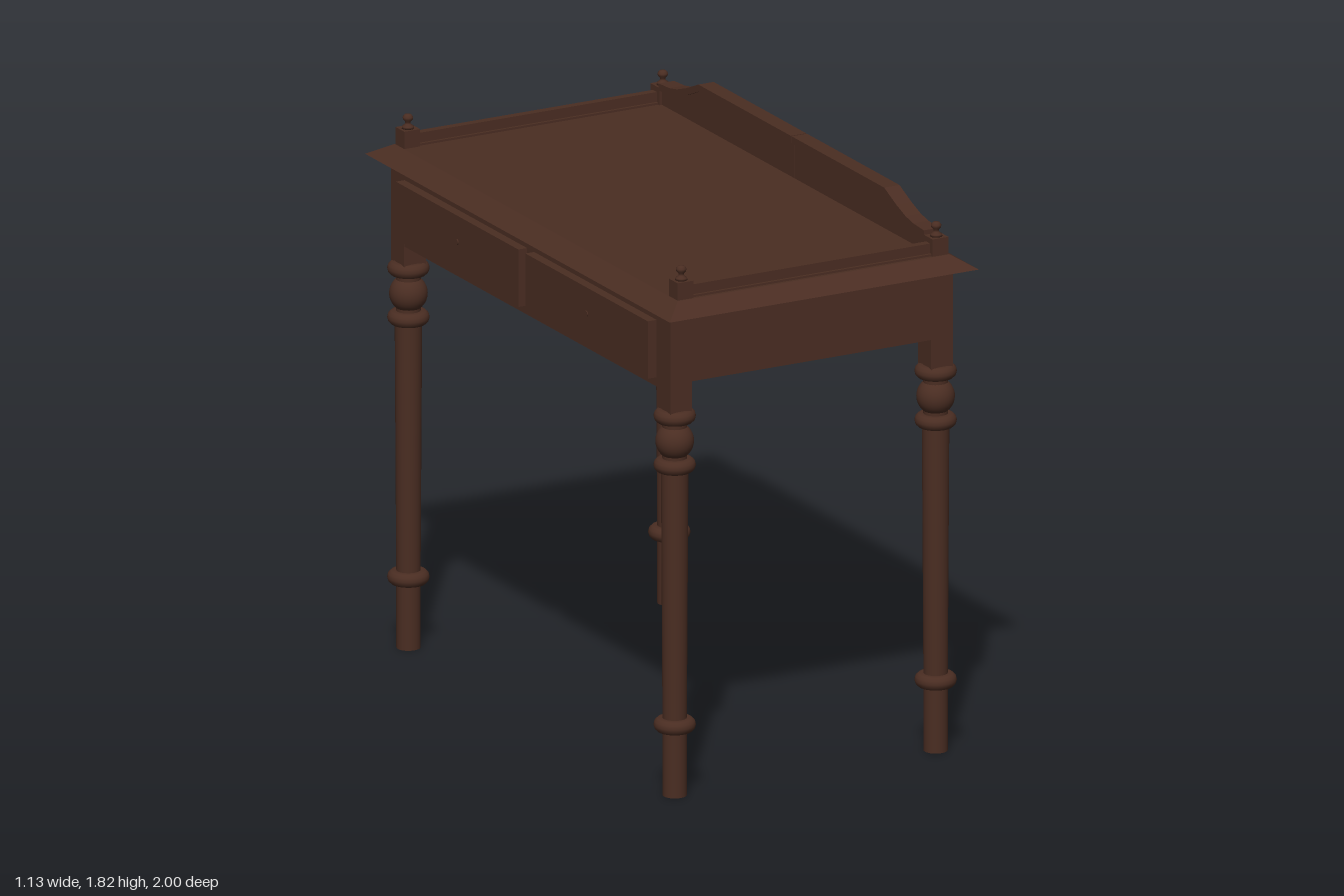
import * as THREE from 'three';

const wood = new THREE.MeshStandardMaterial({ color: 0x4a2d22 });
wood.name = 'dark wood';

function add(parent, name, geometry, x = 0, y = 0, z = 0) {
  const mesh = new THREE.Mesh(geometry, wood);
  mesh.name = name;
  mesh.position.set(x, y, z);
  parent.add(mesh);
  return mesh;
}

// Box given by its minimum and maximum corners
function block(parent, name, [x0, y0, z0], [x1, y1, z1]) {
  return add(parent, name, new THREE.BoxGeometry(x1 - x0, y1 - y0, z1 - z0),
    (x0 + x1) / 2, (y0 + y1) / 2, (z0 + z1) / 2);
}

function ring(parent, name, y) {
  const g = new THREE.TorusGeometry(0.044, 0.024, 12, 32);
  g.rotateX(Math.PI / 2);
  return add(parent, name, g, 0, y, 0);
}

// Turned leg with a square top block
function makeLeg() {
  const leg = new THREE.Group();
  leg.name = 'leg';
  block(leg, 'legBlock', [-0.04, 1.285, -0.043], [0.04, 1.64, 0.043]);
  ring(leg, 'upperRing', 1.275);
  add(leg, 'legNeck', new THREE.CylinderGeometry(0.04, 0.04, 0.19, 24), 0, 1.195, 0);
  add(leg, 'legBall', new THREE.SphereGeometry(0.062, 28, 18), 0, 1.19, 0);
  ring(leg, 'lowerRing', 1.11);
  add(leg, 'legShaft', new THREE.CylinderGeometry(0.044, 0.039, 0.86, 24), 0, 0.67, 0);
  ring(leg, 'ankleRing', 0.238);
  add(leg, 'foot', new THREE.CylinderGeometry(0.039, 0.039, 0.24, 24), 0, 0.12, 0);
  return leg;
}

// Small square post with a turned finial
function makePost() {
  const post = new THREE.Group();
  post.name = 'galleryPost';
  block(post, 'postBlock', [-0.029, 1.66, -0.029], [0.029, 1.735, 0.029]);
  const profile = [[0, 1.73], [0.02, 1.735], [0.019, 1.742], [0.009, 1.75], [0.009, 1.757],
    [0.016, 1.765], [0.017, 1.773], [0.011, 1.781], [0, 1.783]];
  add(post, 'finial', new THREE.LatheGeometry(profile.map(p => new THREE.Vector2(...p)), 16));
  return post;
}

// Half of the rear gallery outline, from the middle (z = 0.003) to the post
function galleryOutline(drop, bottomDrop) {
  const s = new THREE.Shape();
  const edge = d => [[0.003, 1.82 - d], [0.61, 1.82 - d], [0.69, 1.785 - d],
    [0.75, 1.764 - d], [0.80, 1.754 - d], [0.87, 1.75 - d]];
  const points = edge(drop);
  if (bottomDrop) points.push(...edge(bottomDrop).reverse());
  else points.push([0.87, 1.665], [0.003, 1.665]);
  points.forEach(([z, y], i) => (i ? s.lineTo(z, y) : s.moveTo(z, y)));
  s.closePath();
  return s;
}

function makeGalleryHalf() {
  const half = new THREE.Group();
  half.name = 'rearGalleryHalf';
  for (const [name, shape, depth] of [
    ['galleryPanel', galleryOutline(0.005), 0.034],
    ['galleryCap', galleryOutline(0, 0.024), 0.056],
  ]) {
    const g = new THREE.ExtrudeGeometry(shape, { depth, bevelEnabled: false });
    g.translate(0, 0, -depth / 2);
    g.rotateY(-Math.PI / 2);
    add(half, name, g, 0.464, 0, 0);
  }
  return half;
}

// Table top whose edge slopes inward on all four sides
function makeTopGeometry() {
  const g = new THREE.BoxGeometry(1.13, 0.042, 2).toNonIndexed();
  const p = g.attributes.position;
  for (let i = 0; i < p.count; i++) {
    if (p.getY(i) > 0) {
      p.setX(i, Math.sign(p.getX(i)) * 0.497);
      p.setZ(i, Math.sign(p.getZ(i)) * 0.93);
    }
  }
  g.computeVertexNormals();
  return g;
}

export function createModel() {
  const desk = new THREE.Group();
  desk.name = 'writingDesk';

  // Case, inset bottom board and top
  block(desk, 'case', [-0.517, 1.395, -0.917], [0.517, 1.64, 0.917]);
  block(desk, 'bottomBoard', [-0.515, 1.363, -0.832], [0.515, 1.397, 0.832]);
  add(desk, 'tableTop', makeTopGeometry(), 0, 1.656, 0);

  // Legs and corner posts
  for (const sx of [-1, 1]) for (const sz of [-1, 1]) {
    const leg = makeLeg();
    leg.position.set(sx * 0.477, 0, sz * 0.874);
    const post = makePost();
    post.position.set(sx * 0.466, 0, sz * 0.897);
    desk.add(leg, post);
  }

  for (const s of [-1, 1]) {
    // Low end rails with a wider foot moulding
    block(desk, 'endRail', [-0.45, 1.67, s * 0.897 - 0.013], [0.45, 1.717, s * 0.897 + 0.013]);
    block(desk, 'endRailFoot', [-0.45, 1.67, s * 0.897 - 0.022], [0.45, 1.684, s * 0.897 + 0.022]);

    // Drawer fronts with a small keyhole plate
    block(desk, 'drawer', [-0.549, 1.395, s * 0.425 - 0.402], [-0.5, 1.588, s * 0.425 + 0.402]);
    const plate = new THREE.CylinderGeometry(0.01, 0.01, 0.004, 12);
    plate.rotateZ(Math.PI / 2);
    add(desk, 'keyholePlate', plate, -0.55, 1.5, s * 0.425);

    // Rear gallery, turned about its own middle for the other half
    const half = makeGalleryHalf();
    if (s < 0) {
      half.rotation.y = Math.PI;
      half.position.x = 0.928;
    }
    desk.add(half);
  }
  return desk;
}
